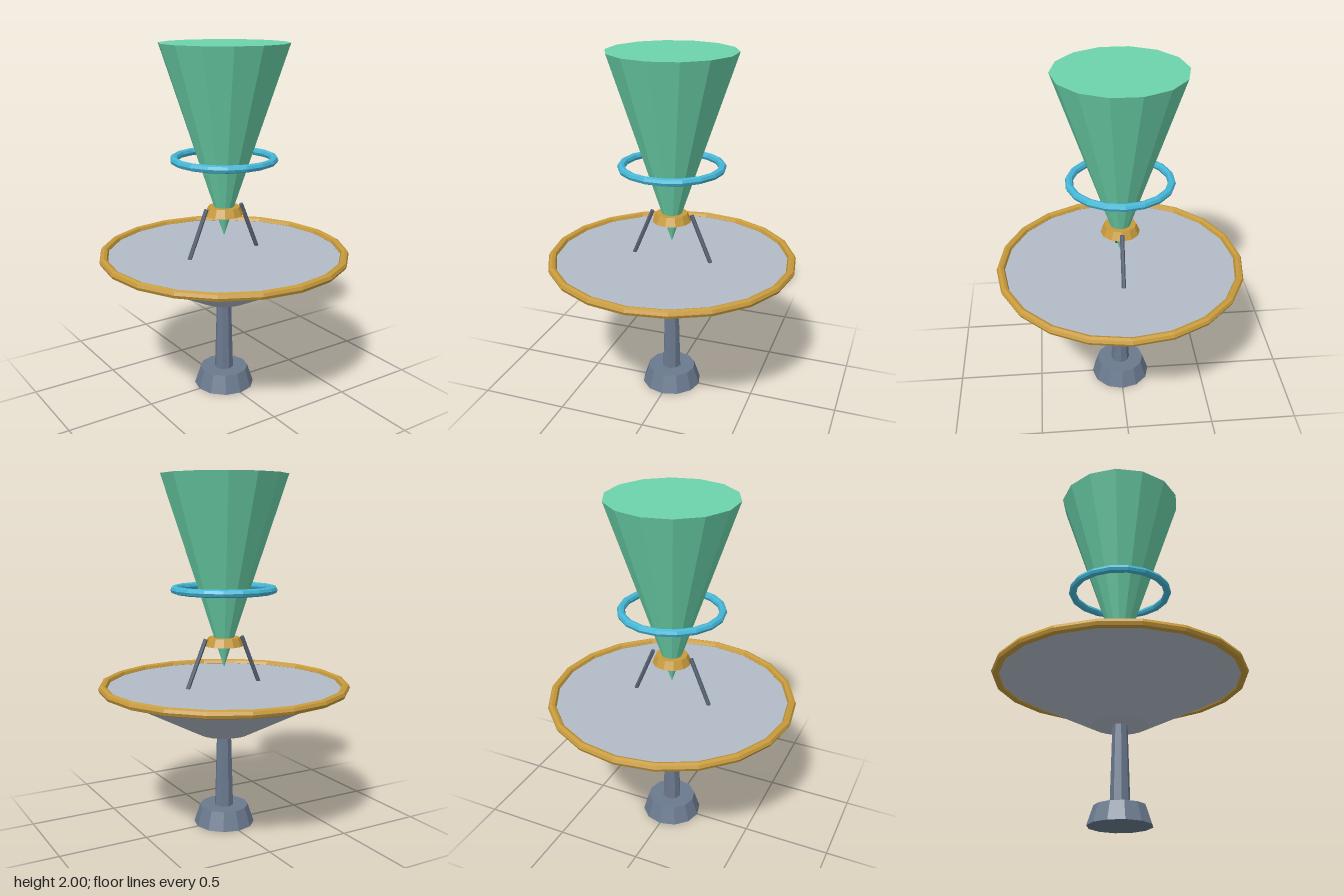
import * as THREE from 'three';

const paint = (name, color) => {
  const m = new THREE.MeshStandardMaterial({ color, flatShading: true });
  m.name = name;
  return m;
};

export function createModel() {
  const slate = paint('slate', 0x6b7a8f);
  const darkSlate = paint('dark slate', 0x5a6476);
  const paleGrey = paint('pale grey', 0xb2bbc7);
  const gold = paint('gold', 0xc89b3c);
  const cyan = paint('cyan', 0x45b8d8);
  const mint = paint('mint', 0x6cd4ac);

  const model = new THREE.Group();
  model.name = 'dishAntenna';

  const add = (name, geometry, material) => {
    const mesh = new THREE.Mesh(geometry, material);
    mesh.name = name;
    model.add(mesh);
    return mesh;
  };

  // Upright tapered solid between two heights
  const taper = (name, rTop, rBottom, y0, y1, sides, material) => {
    const mesh = add(name, new THREE.CylinderGeometry(rTop, rBottom, y1 - y0, sides), material);
    mesh.position.y = (y0 + y1) / 2;
  };

  // Horizontal ring
  const ring = (name, radius, tube, y, sides, material) => {
    const mesh = add(name, new THREE.TorusGeometry(radius, tube, 8, sides), material);
    mesh.rotation.x = Math.PI / 2;
    mesh.position.y = y;
  };

  // Stand
  taper('base', 0.14, 0.175, 0, 0.105, 12, slate);
  taper('column', 0.042, 0.055, 0.105, 0.545, 8, slate);

  // Dish and its rim
  taper('dish', 0.685, 0.156, 0.545, 0.822, 20, paleGrey);
  ring('dishRim', 0.69, 0.024, 0.823, 20, gold);

  // Struts leaning in from the dish to the collar
  for (const side of [-1, 1]) {
    const foot = new THREE.Vector3(side * 0.232, 0.82, 0);
    const head = new THREE.Vector3(side * 0.117, 1.095, 0);
    const strut = add(side > 0 ? 'leftStrut' : 'rightStrut',
      new THREE.CylinderGeometry(0.012, 0.012, foot.distanceTo(head), 6), darkSlate);
    strut.position.copy(foot).add(head).multiplyScalar(0.5);
    strut.quaternion.setFromUnitVectors(new THREE.Vector3(0, 1, 0), head.sub(foot).normalize());
  }

  // Collar, beam cone and floating ring
  taper('collar', 0.09, 0.111, 1.05, 1.098, 12, gold);
  taper('beamCone', 0.357, 0, 0.925, 2, 14, mint);
  ring('beamRing', 0.28, 0.022, 1.37, 18, cyan);

  return model;
}
